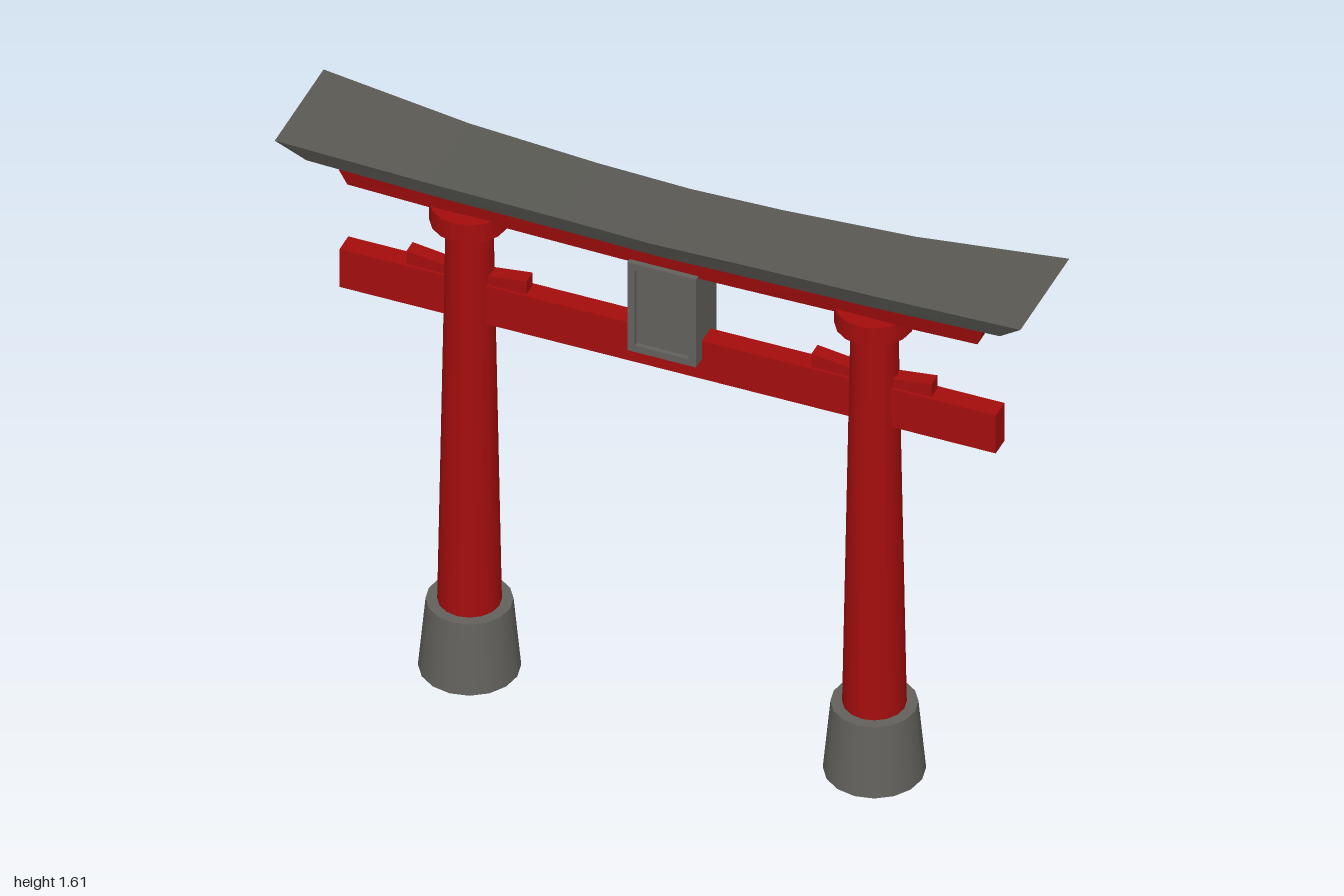
import * as THREE from 'three';

const red = new THREE.MeshStandardMaterial({ color: 0xa50d0d });
const redFlat = new THREE.MeshStandardMaterial({ color: 0xa50d0d, flatShading: true });
const stone = new THREE.MeshStandardMaterial({ color: 0x62615c });
const stoneFlat = new THREE.MeshStandardMaterial({ color: 0x5a5954, flatShading: true });

function add(parent, name, geometry, material, x = 0, y = 0, z = 0) {
  const mesh = new THREE.Mesh(geometry, material);
  mesh.name = name;
  mesh.position.set(x, y, z);
  parent.add(mesh);
  return mesh;
}

// Solid lofted along x. Each station: [xBottom, yBottom, halfDepthBottom, xTop, yTop, halfDepthTop]
function loft(stations) {
  const pos = [], idx = [];
  for (const [xb, yb, db, xt, yt, dt] of stations)
    pos.push(xb, yb, -db, xb, yb, db, xt, yt, dt, xt, yt, -dt);
  const last = (stations.length - 1) * 4;
  for (let i = 0; i < last; i += 4)
    for (let j = 0; j < 4; j++) {
      const a = i + j, b = i + (j + 1) % 4, c = b + 4, d = a + 4;
      idx.push(a, d, c, a, c, b);
    }
  idx.push(0, 1, 2, 0, 2, 3, last + 3, last + 2, last + 1, last + 3, last + 1, last);
  const g = new THREE.BufferGeometry();
  g.setAttribute('position', new THREE.Float32BufferAttribute(pos, 3));
  g.setIndex(idx);
  const flat = g.toNonIndexed();
  flat.computeVertexNormals();
  return flat;
}

// Stations given from the centre outwards, mirrored to the other side
function mirrored(half) {
  const other = half.slice(1).reverse().map(([xb, yb, db, xt, yt, dt]) => [-xb, yb, db, -xt, yt, dt]);
  return loft([...other, ...half]);
}

export function createModel() {
  const model = new THREE.Group();
  model.name = 'gate';

  // Curved roof slab, flaring towards its ends
  add(model, 'roof', mirrored([
    [0, 1.497, 0.09, 0, 1.557, 0.122],
    [0.24, 1.502, 0.09, 0.25, 1.564, 0.122],
    [0.57, 1.515, 0.1, 0.6, 1.578, 0.132],
    [0.93, 1.545, 0.122, 1, 1.61, 0.157],
  ]), stoneFlat);

  // Red lintel under the roof
  add(model, 'upperLintel', mirrored([
    [0, 1.425, 0.05, 0, 1.5, 0.066],
    [0.21, 1.428, 0.05, 0.22, 1.505, 0.066],
    [0.51, 1.436, 0.054, 0.53, 1.515, 0.072],
    [0.845, 1.452, 0.062, 0.878, 1.541, 0.083],
  ]), redFlat);

  // Straight tie beam through the posts
  add(model, 'tieBeam', new THREE.BoxGeometry(1.76, 0.118, 0.056), red, 0, 1.157, 0);

  // Posts with footing, collar and wedges
  for (const side of [-1, 1]) {
    const post = new THREE.Group();
    post.name = side > 0 ? 'leftPost' : 'rightPost';
    post.position.x = side * 0.543;
    model.add(post);
    add(post, 'footing', new THREE.CylinderGeometry(0.109, 0.128, 0.207, 16), stone, 0, 0.1035);
    add(post, 'shaft', new THREE.CylinderGeometry(0.059, 0.082, 1.31, 16), red, 0, 0.755);
    add(post, 'collar', new THREE.CylinderGeometry(0.1, 0.1, 0.056, 16), red, 0, 1.417);
    add(post, 'wedges', mirrored([
      [0, 1.21, 0.02, 0, 1.235, 0.02],
      [0.161, 1.21, 0.02, 0.161, 1.256, 0.02],
    ]), redFlat);
  }

  // Central plaque: frame open to front and back around a recessed panel
  const plaque = new THREE.Group();
  plaque.name = 'plaque';
  plaque.position.y = 1.298;
  model.add(plaque);
  const rect = (shape, w, h) => shape.moveTo(-w, -h).lineTo(w, -h).lineTo(w, h).lineTo(-w, h).closePath();
  const outline = rect(new THREE.Shape(), 0.092, 0.137);
  outline.holes.push(rect(new THREE.Path(), 0.072, 0.117));
  const frame = new THREE.ExtrudeGeometry(outline, { depth: 0.134, bevelEnabled: false });
  add(plaque, 'plaqueFrame', frame, stone, 0, 0, -0.067);
  add(plaque, 'plaquePanel', new THREE.BoxGeometry(0.146, 0.236, 0.11), stone);

  return model;
}
